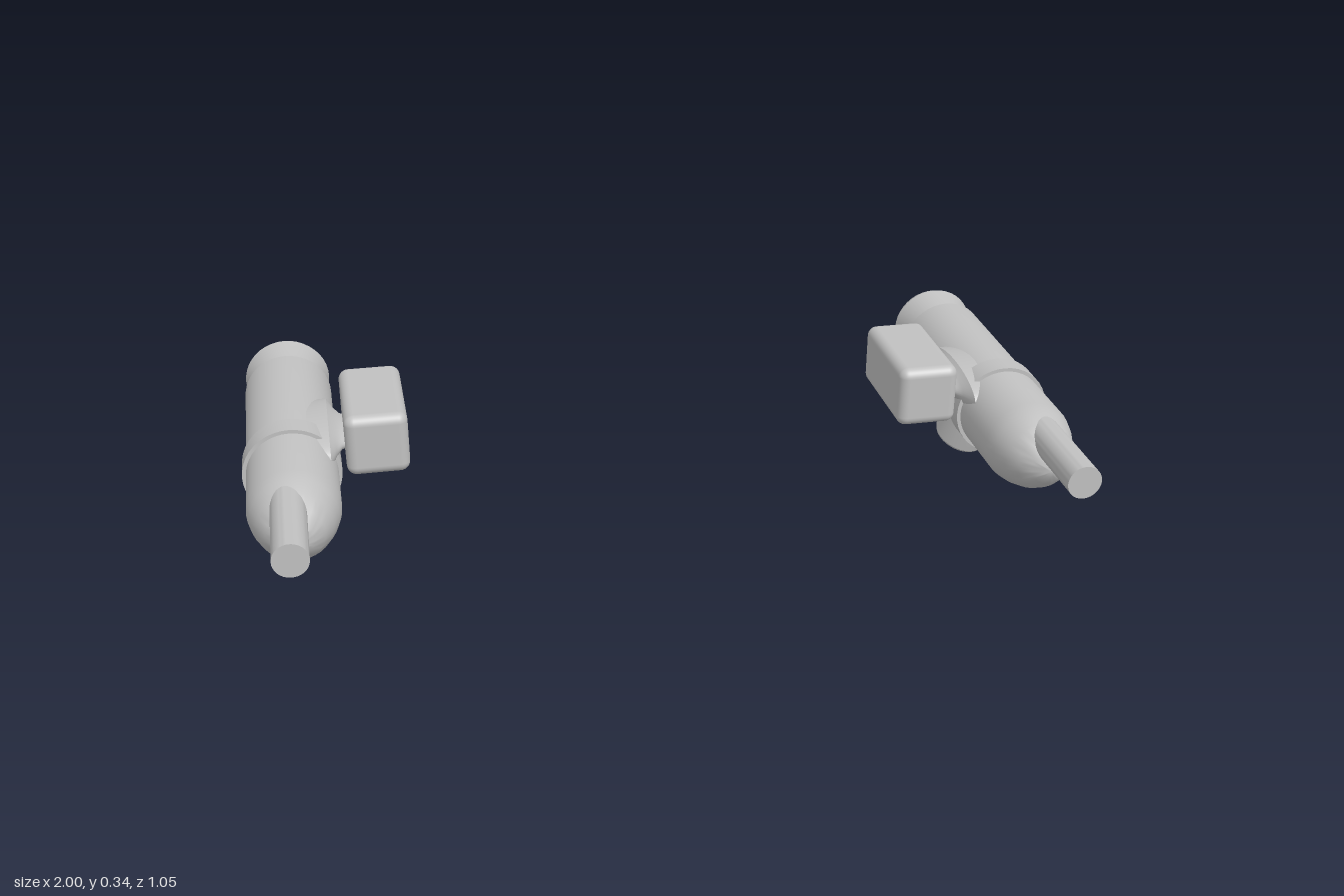
import * as THREE from 'three';
import { toCreasedNormals } from 'three/addons/utils/BufferGeometryUtils.js';
import { RoundedBoxGeometry } from 'three/addons/geometries/RoundedBoxGeometry.js';

const grey = new THREE.MeshStandardMaterial({ color: 0xc0c0c0 });
grey.name = 'light grey';

// Turned solid from [radius, height] points, axis along y
function turned(points, crease = 0.5, segments = 40) {
  const profile = points.map(([r, h]) => new THREE.Vector2(r, h));
  return toCreasedNormals(new THREE.LatheGeometry(profile, segments), crease);
}

// Turned solid with its axis along z
const alongZ = (points, crease) => turned(points, crease).rotateX(Math.PI / 2);

function createPod(side) {
  const pod = new THREE.Group();
  pod.name = side > 0 ? 'leftPod' : 'rightPod';
  const add = (name, geometry, x, y, z) => {
    const mesh = new THREE.Mesh(geometry, grey);
    mesh.name = name;
    mesh.position.set(side * x, y, z);
    pod.add(mesh);
    return mesh;
  };
  const cx = 0.883, cy = 0.207;

  // Main cylinder with its rounded, pointed nose
  add('body', alongZ([
    [0, -0.415], [0.108, -0.415], [0.108, 0.21], [0.101, 0.245], [0.087, 0.285],
    [0.067, 0.32], [0.042, 0.345], [0.018, 0.361], [0, 0.367],
  ], 0.6), cx, cy, 0);

  // Band round the middle
  add('band', alongZ([
    [0.1, -0.03], [0.117, -0.03], [0.117, 0.03], [0.1, 0.03],
  ]), cx, cy, 0);

  // Flared, closed rear end
  add('nozzle', alongZ([
    [0, -0.525], [0.102, -0.525], [0.107, -0.512], [0.083, -0.415], [0.083, -0.4],
  ]), cx, cy, 0);

  // Offset front tube
  add('barrel', alongZ([
    [0, 0.15], [0.041, 0.15], [0.041, 0.525], [0, 0.525],
  ]), 0.894, 0.26, 0);

  // Tilted stub below the body, leaning inward and backward
  const stub = add('lowerStub', turned([
    [0, -0.06], [0.058, -0.06], [0.064, 0], [0.069, 0.098], [0.066, 0.104], [0, 0.104],
  ]), 0.885, 0.13, -0.15);
  stub.quaternion.setFromUnitVectors(
    new THREE.Vector3(0, 1, 0),
    new THREE.Vector3(-side * 0.22, -0.92, -0.34).normalize());

  // Flat strut, widening toward the body
  const strutShape = turned([
    [0, -0.05], [0.16, -0.05], [0.16, 0], [0.115, 0.014], [0.085, 0.028],
    [0.075, 0.045], [0, 0.045],
  ], 0.8);
  strutShape.scale(0.3, 1, 1).rotateZ(side * Math.PI / 2);
  add('strut', strutShape, 0.79, 0.258, -0.075);

  // Rounded mounting block on the inner side
  add('mountBlock', new RoundedBoxGeometry(0.15, 0.154, 0.302, 4, 0.024), 0.68, 0.271, -0.099);
  return pod;
}

export function createModel() {
  const model = new THREE.Group();
  model.name = 'twinPods';
  for (const side of [1, -1]) model.add(createPod(side));
  return model;
}
